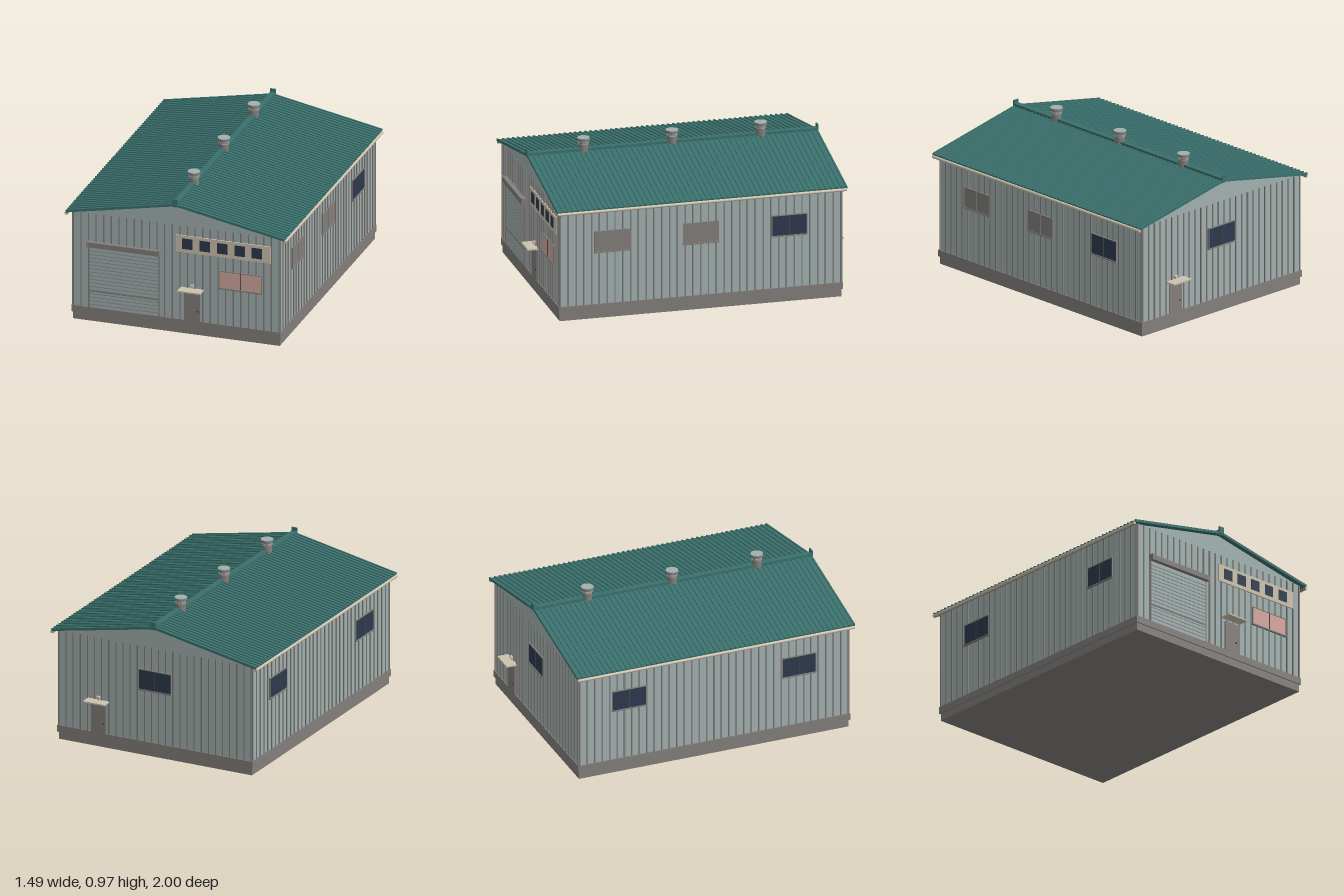
import * as THREE from 'three';
import { mergeGeometries } from 'three/addons/utils/BufferGeometryUtils.js';

const mat = (name, color) => {
  const m = new THREE.MeshStandardMaterial({ color });
  m.name = name;
  return m;
};

export function createModel() {
  const cladding = mat('pale blue grey cladding', 0xa0b0af);
  const grey = mat('warm grey trim', 0x827e7b);
  const teal = mat('teal roofing', 0x3a706c);
  const cream = mat('cream panel', 0xcbc1ad);
  const navy = mat('navy glass', 0x2c394c);
  const pink = mat('pink shutter', 0xd2a79e);
  const dark = mat('dark frame', 0x4a4a4a);

  const model = new THREE.Group();
  model.name = 'warehouse';
  const W = 0.695, D = 0.927, BASE = 0.095, EAVE = 0.742;

  const add = (parent, name, geometry, material) => {
    const mesh = new THREE.Mesh(geometry, material);
    mesh.name = name;
    parent.add(mesh);
    return mesh;
  };
  // Box geometry given by its two extreme corners
  const span = (x0, x1, y0, y1, z0, z1) =>
    new THREE.BoxGeometry(x1 - x0, y1 - y0, z1 - z0)
      .translate((x0 + x1) / 2, (y0 + y1) / 2, (z0 + z1) / 2);
  const box = (parent, name, material, ...s) => add(parent, name, span(...s), material);

  // Plinth with a slightly wider upper course
  box(model, 'plinth', grey, -W, W, 0, 0.05, -D, D);
  box(model, 'plinthLedge', grey, -0.703, 0.703, 0.05, BASE, -0.935, 0.935);

  // Wall body with gabled ends
  const outline = new THREE.Shape([
    [-W, 0.09], [W, 0.09], [W, EAVE], [0.64, 0.748], [0, 0.874], [-0.64, 0.748], [-W, EAVE],
  ].map(([x, y]) => new THREE.Vector2(x, y)));
  add(model, 'walls', new THREE.ExtrudeGeometry(outline, { depth: 2 * D, bevelEnabled: false })
    .translate(0, 0, -D), cladding);

  // Each wall face is a group whose local z points outward from the wall plane
  const face = (name, angle, distance) => {
    const g = new THREE.Group();
    g.name = name;
    g.rotation.y = angle;
    g.position.set(Math.sin(angle) * distance, 0, Math.cos(angle) * distance);
    model.add(g);
    return g;
  };
  const front = face('frontWall', 0, D);
  const back = face('backWall', Math.PI, D);
  const right = face('rightWall', Math.PI / 2, W);
  const left = face('leftWall', -Math.PI / 2, W);

  // Vertical cladding ribs
  const ribs = (parent, half, count) => {
    const parts = [];
    for (let i = 0; i <= count; i++) {
      const x = -half + 0.004 + (2 * half - 0.008) * i / count;
      parts.push(span(x - 0.004, x + 0.004, BASE, EAVE, 0, 0.006));
    }
    add(parent, 'claddingRibs', mergeGeometries(parts), grey);
  };
  [front, back].forEach((f) => ribs(f, W, 27));
  [right, left].forEach((f) => ribs(f, D, 36));

  // Two-pane windows with mullion, frame lines and sill
  const windowAt = (parent, x, y0, y1, width, pane) => {
    const h = width / 2;
    const frame = pane === grey ? grey : dark;
    box(parent, 'windowPane', pane, x - h, x + h, y0, y1, 0, 0.008);
    box(parent, 'mullion', frame, x - 0.003, x + 0.003, y0, y1, 0, 0.011);
    box(parent, 'windowHead', grey, x - h, x + h, y1 - 0.003, y1 + 0.002, 0, 0.011);
    for (const s of [-1, 1]) {
      box(parent, 'windowJamb', grey, x + s * h - 0.002, x + s * h + 0.002, y0, y1, 0, 0.01);
    }
    box(parent, 'windowSill', grey, x - h - 0.005, x + h + 0.005, y0 - 0.005, y0 + 0.003, 0, 0.014);
  };
  windowAt(front, 0.433, 0.347, 0.465, 0.284, pink);
  windowAt(back, 0, 0.445, 0.582, 0.23, navy);
  windowAt(right, -0.583, 0.445, 0.582, 0.23, grey);
  windowAt(right, 0, 0.445, 0.582, 0.23, grey);
  windowAt(right, 0.583, 0.445, 0.582, 0.23, navy);
  windowAt(left, -0.583, 0.445, 0.582, 0.23, navy);
  windowAt(left, 0.583, 0.445, 0.582, 0.23, navy);

  // Entrance doors with canopy and lamp
  const doorAt = (parent, x) => {
    box(parent, 'door', grey, x - 0.053, x + 0.053, BASE, 0.293, 0, 0.009);
    const knob = add(parent, 'doorKnob', new THREE.SphereGeometry(0.006, 10, 8), navy);
    knob.position.set(x + 0.038, 0.165, 0.011);
    box(parent, 'canopy', cream, x - 0.077, x + 0.077, 0.309, 0.318, 0, 0.073);
    box(parent, 'doorLampArm', grey, x - 0.003, x + 0.003, 0.318, 0.328, 0, 0.01);
    box(parent, 'doorLamp', cream, x - 0.011, x + 0.011, 0.327, 0.343, 0, 0.018);
  };
  doorAt(front, 0.108);
  doorAt(back, -0.407);

  // Roller door with slats and housing
  box(front, 'rollerDoor', cladding, -0.585, -0.113, BASE, 0.515, 0, 0.008);
  const seams = [];
  for (let y = 0.118; y < 0.51; y += 0.0245) seams.push(span(-0.583, -0.115, y - 0.0018, y + 0.0018, 0, 0.01));
  seams.push(span(-0.583, -0.115, 0.205, 0.213, 0, 0.01));
  add(front, 'rollerSeams', mergeGeometries(seams), grey);
  for (const x of [-0.585, -0.113]) box(front, 'rollerGuide', grey, x - 0.004, x + 0.004, BASE, 0.515, 0, 0.012);
  box(front, 'rollerHousing', grey, -0.588, -0.11, 0.517, 0.551, 0, 0.033);
  for (const x of [-0.588, -0.11]) box(front, 'housingCap', grey, x - 0.004, x + 0.004, 0.513, 0.555, 0, 0.036);

  // Cream band with a row of small windows
  box(front, 'clerestoryPanel', cream, 0, 0.637, 0.56, 0.676, 0, 0.009);
  for (let i = 0; i < 5; i++) {
    const x = 0.077 + i * 0.117;
    box(front, 'clerestoryWindow', navy, x - 0.035, x + 0.035, 0.584, 0.656, 0, 0.011);
  }

  // Roof slopes with ribs, and gutters along the eaves
  const slope = Math.atan2(0.143, 0.735), length = Math.hypot(0.143, 0.735), Z = 0.955;
  for (const s of [-1, 1]) {
    const half = new THREE.Group();
    half.name = s > 0 ? 'leftRoofSlope' : 'rightRoofSlope';
    half.position.set(0, 0.889, 0);
    half.rotation.z = -s * slope;
    model.add(half);
    const x0 = Math.min(0, s * length), x1 = Math.max(0, s * length);
    box(half, 'roofSheet', teal, x0, x1, -0.011, 0, -Z, Z);
    const parts = [];
    for (let i = 0; i <= 56; i++) {
      const z = -Z + 0.005 + (2 * Z - 0.01) * i / 56;
      parts.push(span(x0, x1, 0, 0.006, z - 0.005, z + 0.005));
    }
    add(half, 'roofRibs', mergeGeometries(parts), teal);

    const gutter = add(model, s > 0 ? 'leftGutter' : 'rightGutter',
      new THREE.CylinderGeometry(0.01, 0.01, 2 * Z - 0.01, 12).rotateX(Math.PI / 2), cream);
    gutter.position.set(s * 0.735, 0.729, 0);
    box(model, 'gutterBack', grey, s * 0.728 - 0.003, s * 0.728 + 0.003, 0.72, 0.743, -Z + 0.005, Z - 0.005);
  }

  // Ridge capping with raised end blocks
  box(model, 'ridgeCap', teal, -0.019, 0.019, 0.872, 0.904, -Z, Z);
  for (const s of [-1, 1]) {
    box(model, 'ridgeEnd', teal, -0.019, 0.019, 0.88, 0.926, s * 0.955 - 0.005, s * 0.955 + 0.005);
  }

  // Round roof vents on the ridge
  for (const z of [-0.583, 0, 0.583]) {
    const vent = new THREE.Group();
    vent.name = 'roofVent';
    vent.position.set(0, 0, z);
    model.add(vent);
    const ring = (name, r, y0, y1, m) => add(vent, name,
      new THREE.CylinderGeometry(r, r, y1 - y0, 20).translate(0, (y0 + y1) / 2, 0), m);
    ring('ventStack', 0.032, 0.87, 0.958, grey);
    for (const y of [0.934, 0.944]) ring('ventBand', 0.034, y, y + 0.004, cladding);
    ring('ventCap', 0.042, 0.956, 0.971, grey);
    ring('ventLid', 0.04, 0.969, 0.974, cladding);
  }
  return model;
}
